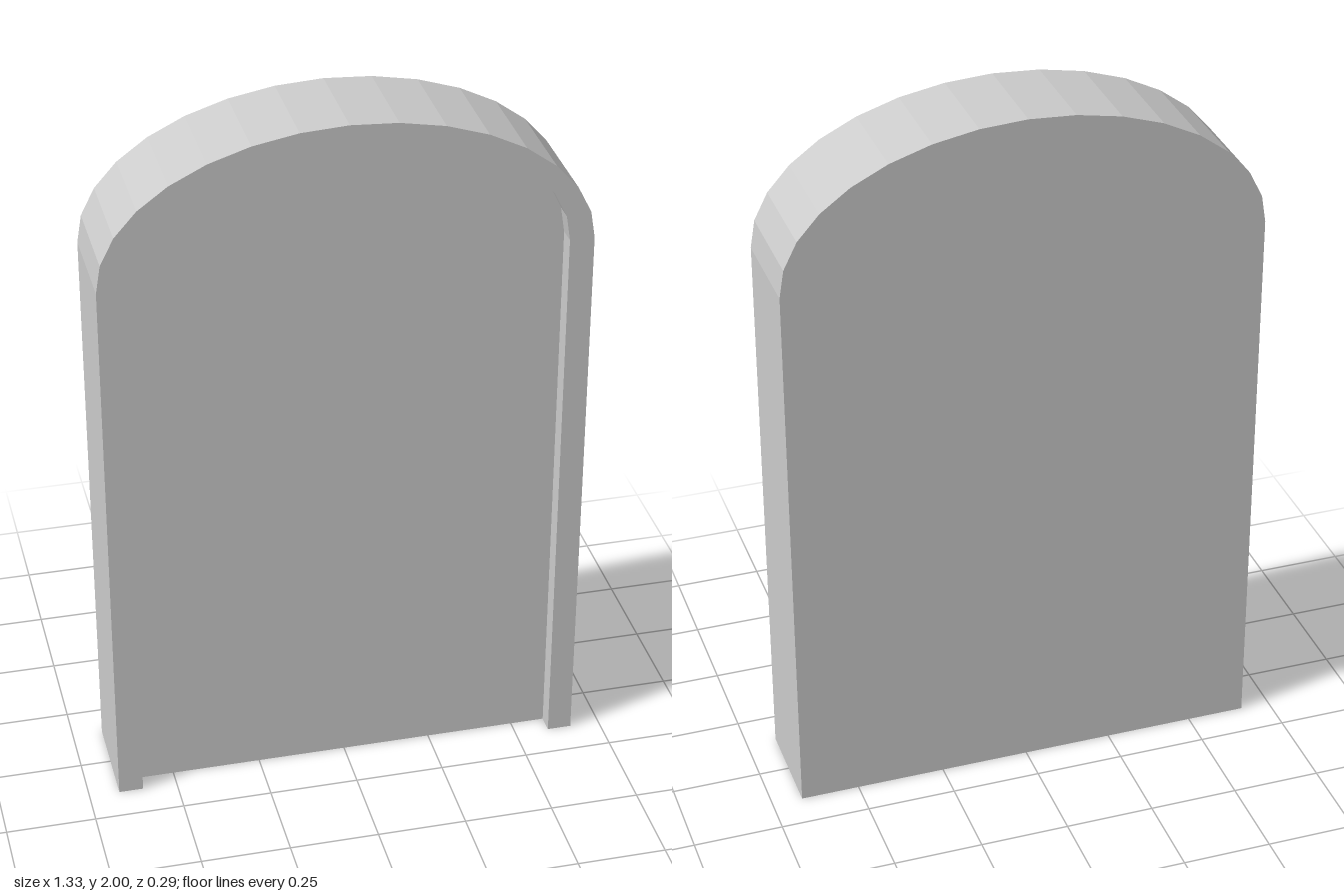
import * as THREE from 'three';

const SPRING = 1.6;      // height where the arch starts
const SEGMENTS = 16;     // facets of the arch
const BACK = -0.146, FRONT = 0.146, RECESS = 0.052;

// Arched outline from the right foot, over the top, to the left foot
function archPoints(halfWidth, top) {
  const points = [new THREE.Vector2(halfWidth, 0)];
  for (let i = 0; i <= SEGMENTS; i++) {
    const a = (i / SEGMENTS) * Math.PI;
    points.push(new THREE.Vector2(halfWidth * Math.cos(a), SPRING + (top - SPRING) * Math.sin(a)));
  }
  points.push(new THREE.Vector2(-halfWidth, 0));
  return points;
}

function extrudePart(name, points, z0, z1, material) {
  const geometry = new THREE.ExtrudeGeometry(new THREE.Shape(points), { depth: z1 - z0, bevelEnabled: false });
  const mesh = new THREE.Mesh(geometry, material);
  mesh.name = name;
  mesh.position.z = z0;
  return mesh;
}

export function createModel() {
  const model = new THREE.Group();
  model.name = 'archedSlab';
  const material = new THREE.MeshStandardMaterial({ color: 0xcccccc, flatShading: true });
  const outer = archPoints(0.665, 2);
  const inner = archPoints(0.597, 1.97);

  // Solid slab behind the recess
  model.add(extrudePart('slab', outer, BACK, FRONT - RECESS, material));

  // Raised border around the recess, open at the bottom
  model.add(extrudePart('rim', [...outer, ...inner.reverse()], FRONT - RECESS, FRONT, material));

  return model;
}
